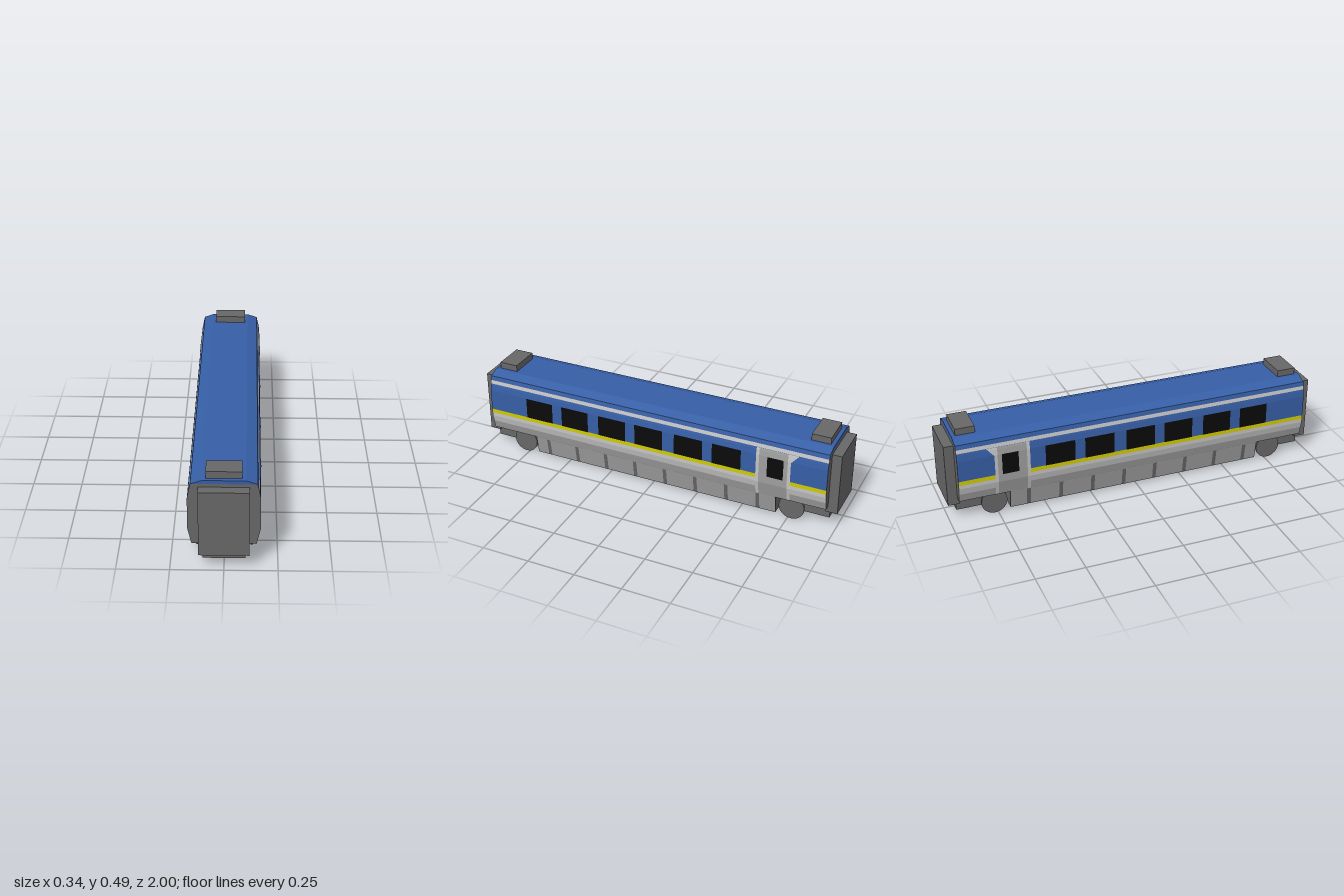
import * as THREE from 'three';

// Half cross-section of the coach, bottom to top: [x, y]
const PROFILE = [[0.134, 0.013], [0.15, 0.115], [0.168, 0.195], [0.168, 0.35], [0.164, 0.378], [0.152, 0.432], [0.1, 0.45]];
const HALF = 0.95; // half length of the shell

function halfWidth(y) {
  for (let i = 1; i < PROFILE.length; i++) {
    const [x0, y0] = PROFILE[i - 1], [x1, y1] = PROFILE[i];
    if (y <= y1) return x0 + (x1 - x0) * (y - y0) / (y1 - y0);
  }
  return 0.1;
}

// Side skin that follows the profile; zTop lets the edges slant
function skinGeometry(side, y0, y1, zBottom, zTop, offset) {
  const rows = [y0, ...PROFILE.map(p => p[1]).filter(y => y > y0 + 1e-4 && y < y1 - 1e-4), y1];
  const at = (y, k) => {
    const t = (y - y0) / (y1 - y0);
    return [side * (halfWidth(y) + offset), y, zBottom[k] + (zTop[k] - zBottom[k]) * t];
  };
  const pos = [];
  for (let i = 1; i < rows.length; i++) {
    const a = at(rows[i - 1], 0), b = at(rows[i - 1], 1), c = at(rows[i], 1), d = at(rows[i], 0);
    const tris = side > 0 ? [a, b, c, a, c, d] : [a, c, b, a, d, c];
    tris.forEach(p => pos.push(...p));
  }
  const g = new THREE.BufferGeometry();
  g.setAttribute('position', new THREE.Float32BufferAttribute(pos, 3));
  g.computeVertexNormals();
  return g;
}

// Closed shape from part of the profile
function sectionShape(points) {
  const mirrored = points.map(([x, y]) => [-x, y]).reverse();
  return new THREE.Shape([...points, ...mirrored].map(([x, y]) => new THREE.Vector2(x, y)));
}

export function createModel() {
  const group = new THREE.Group();
  const material = (name, color) => {
    const m = new THREE.MeshStandardMaterial({ color });
    m.name = name;
    return m;
  };
  const blue = material('blue paint', 0x365ea6);
  const light = material('light grey paint', 0xc4c4c4);
  const mid = material('mid grey paint', 0x9e9e9e);
  const yellow = material('yellow paint', 0xd0ca00);
  const grey = material('dark grey', 0x676767);
  const black = material('window black', 0x0a0a0a);

  const add = (name, geometry, mat) => {
    const mesh = new THREE.Mesh(geometry, mat);
    mesh.name = name;
    group.add(mesh);
    return mesh;
  };
  const box = (name, w, y0, y1, z0, z1, mat) =>
    add(name, new THREE.BoxGeometry(w, y1 - y0, z1 - z0), mat).position.set(0, (y0 + y1) / 2, (z0 + z1) / 2);
  const skin = (name, y0, y1, z0, z1, mat, offset = 0, zTop = [z0, z1]) => {
    for (const side of [1, -1]) {
      add(name + (side > 0 ? 'Left' : 'Right'), skinGeometry(side, y0, y1, [z0, z1], zTop, offset), mat);
    }
  };

  // Shell bands, from sill to roof edge
  [
    ['sillBand', 0.115, 0.16, mid],
    ['lowerBand', 0.16, 0.215, light],
    ['yellowStripe', 0.215, 0.237, yellow],
    ['windowBand', 0.237, 0.39, blue],
    ['upperStripe', 0.39, 0.409, light],
    ['roofSlope', 0.409, 0.45, blue],
  ].forEach(([name, y0, y1, mat]) => skin(name, y0, y1, HALF, -HALF, mat));

  // Roof and floor
  const roof = add('roof', new THREE.PlaneGeometry(0.2, 2 * HALF), blue);
  roof.rotation.x = -Math.PI / 2;
  roof.position.y = 0.45;
  const floor = add('floor', new THREE.PlaneGeometry(0.3, 2 * HALF), grey);
  floor.rotation.x = Math.PI / 2;
  floor.position.y = 0.115;

  // End walls: grey below the roof slope, and the blue roof ends above it
  const wall = sectionShape(PROFILE.slice(1, 6));
  const gable = sectionShape(PROFILE.slice(5));
  for (const end of [1, -1]) {
    [['endWall', wall, grey], ['roofEnd', gable, blue]].forEach(([name, shape, mat]) => {
      const m = add(name, new THREE.ShapeGeometry(shape), mat);
      m.position.z = end * HALF;
      if (end < 0) m.rotation.y = Math.PI;
    });
  }

  // Underfloor skirt with side panels and dark joints
  const skirt = new THREE.ExtrudeGeometry(sectionShape(PROFILE.slice(0, 2)), { depth: 1.375, bevelEnabled: false });
  add('skirtCore', skirt, grey).position.z = -0.685;
  skin('skirtPanel', 0.013, 0.115, 0.69, -0.685, mid, 0.001);
  for (let i = 0; i < 8; i++) {
    const z = 0.615 - i * 0.172;
    skin('skirtJoint', 0.015, 0.113, z + 0.01, z - 0.01, grey, 0.002);
  }

  // Windows
  [0.65, 0.438, 0.22, 0.01, -0.213, -0.422].forEach(z =>
    skin('window', 0.237, 0.351, z + 0.078, z - 0.078, black, 0.002));

  // Doors with light trim, flared at the top
  skin('door', 0.115, 0.39, -0.596, -0.746, mid, 0.002);
  skin('doorTrimFront', 0.115, 0.39, -0.58, -0.596, light, 0.002);
  skin('doorTrimRear', 0.115, 0.347, -0.746, -0.762, light, 0.002);
  skin('doorTrimFlare', 0.347, 0.39, -0.746, -0.762, light, 0.002, [-0.746, -0.8]);
  skin('doorWindow', 0.237, 0.351, -0.64, -0.725, black, 0.004);

  // Gangways, roof units and running gear at both ends
  for (const end of [1, -1]) {
    const endBox = (name, w, y0, y1, zIn, zOut) =>
      box(name, w, y0, y1, Math.min(end * zIn, end * zOut), Math.max(end * zIn, end * zOut), grey);
    endBox('gangway', 0.234, 0.082, 0.416, 0.94, 1);
    endBox('roofUnit', 0.166, 0.445, 0.485, 0.83, 0.93);
    endBox('bogieFrame', 0.2, 0.039, 0.094, 0.7, 0.957);
    endBox('bogieMount', 0.2, 0.09, 0.118, 0.915, 0.95);
    endBox('bogiePivot', 0.1, 0.09, 0.118, 0.73, 0.8);
    for (const side of [1, -1]) {
      const wheel = add('wheel', new THREE.CylinderGeometry(0.067, 0.067, 0.011, 32), grey);
      wheel.rotation.z = Math.PI / 2;
      wheel.position.set(side * 0.129, 0.067, end * 0.767);
    }
    const axle = add('axle', new THREE.CylinderGeometry(0.015, 0.015, 0.25, 12), grey);
    axle.rotation.z = Math.PI / 2;
    axle.position.set(0, 0.067, end * 0.767);
  }
  return group;
}
